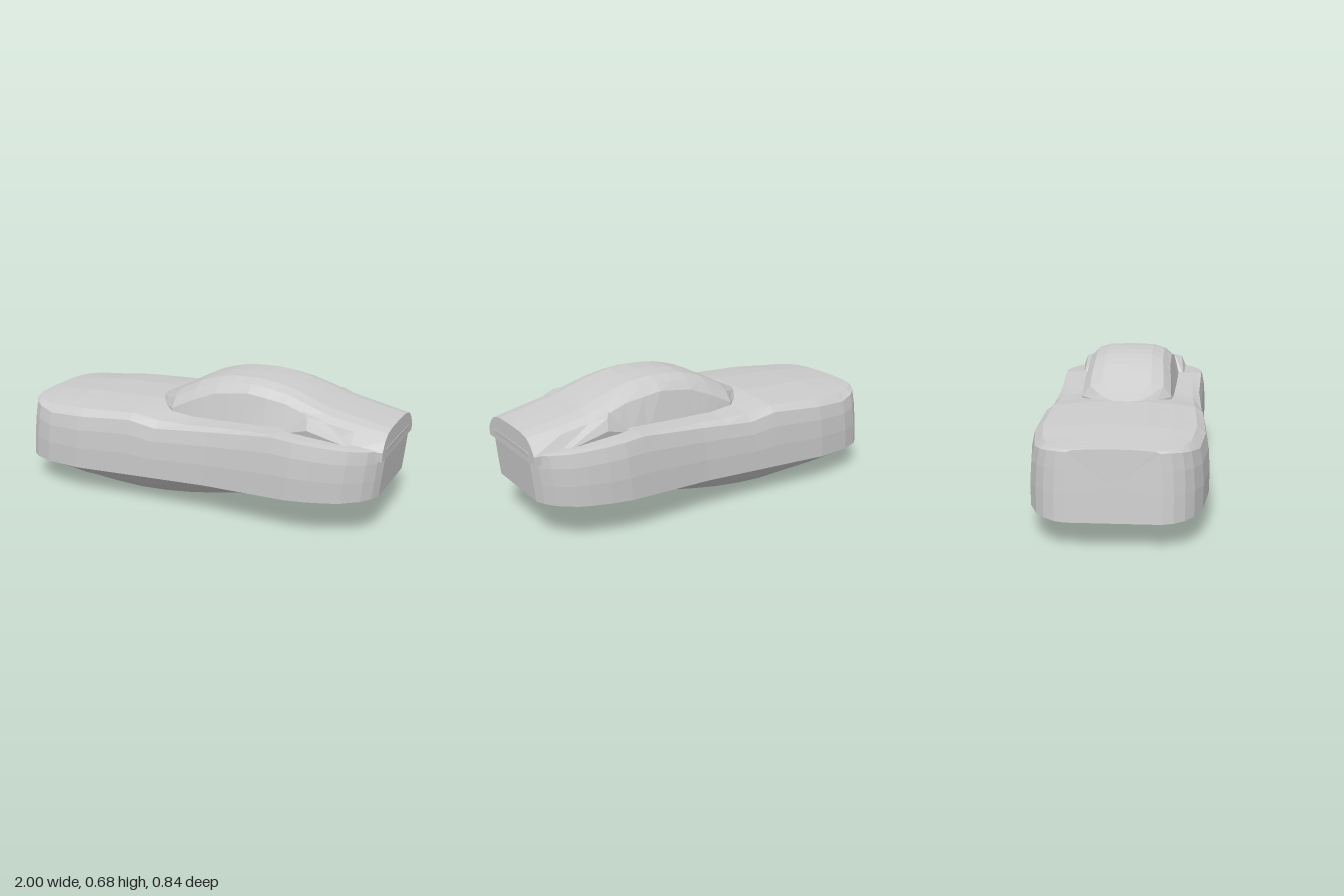
import * as THREE from 'three';
import { ConvexGeometry } from 'three/addons/geometries/ConvexGeometry.js';

const material = new THREE.MeshStandardMaterial({ color: 0xcccccc, flatShading: true });

// Straight-line reading of a profile given as [x, value] pairs.
function at(profile, x) {
  if (x <= profile[0][0]) return profile[0][1];
  for (let i = 1; i < profile.length; i++) {
    const [x0, v0] = profile[i - 1];
    const [x1, v1] = profile[i];
    if (x <= x1) return v0 + ((v1 - v0) * (x - x0)) / (x1 - x0);
  }
  return profile[profile.length - 1][1];
}

// Skins mirrored sections along x. half(x) lists [z, y] from bottom centre to top centre.
function loft(stations, half, lean) {
  const pos = [];
  const index = [];
  let n = 0;
  const centres = [];
  for (const x of stations) {
    const h = half(x);
    const ring = [...h, ...h.slice(1, -1).reverse().map(([z, y]) => [-z, y])];
    n = ring.length;
    for (const [z, y] of ring) pos.push(lean(x, y), y, z);
    const midY = (h[0][1] + h[h.length - 1][1]) / 2;
    centres.push([lean(x, midY), midY, 0]);
  }
  const last = stations.length - 1;
  for (let i = 0; i < last; i++) {
    for (let j = 0; j < n; j++) {
      const k = (j + 1) % n;
      const a = i * n + j, b = a + n, c = i * n + k, d = c + n;
      index.push(a, b, d, a, d, c);
    }
  }
  const c0 = pos.length / 3;
  pos.push(...centres[0], ...centres[last]);
  for (let j = 0; j < n; j++) {
    const k = (j + 1) % n;
    index.push(c0, j, k, c0 + 1, last * n + k, last * n + j);
  }
  const g = new THREE.BufferGeometry();
  g.setAttribute('position', new THREE.Float32BufferAttribute(pos, 3));
  g.setIndex(index);
  const flat = g.toNonIndexed();
  flat.computeVertexNormals();
  return flat;
}

// Body profiles along the length, nose at -x
const width = [[-1, 0.21], [-0.985, 0.26], [-0.95, 0.31], [-0.9, 0.35], [-0.8, 0.39], [-0.6, 0.42],
  [-0.3, 0.41], [0.15, 0.395], [0.6, 0.415], [0.75, 0.395], [0.86, 0.355], [0.94, 0.3], [0.98, 0.25], [1, 0.2]];
const rim = [[-1, 0.13], [1, 0.205]];
const belly = [[-1, 0.13], [-0.8, 0.06], [-0.6, 0.025], [-0.35, 0], [-0.1, 0.01], [0.1, 0.04],
  [0.35, 0.1], [0.6, 0.17], [0.7, 0.162], [0.8, 0.17], [1, 0.205]];
const groove = [[-1, 0.13], [-0.85, 0.09], [-0.7, 0.1], [-0.4, 0.13], [0.3, 0.15], [0.6, 0.18], [0.7, 0.167], [1, 0.205]];
const shoulder = [[-1, 0.44], [-0.8, 0.41], [-0.55, 0.43], [-0.3, 0.45], [-0.15, 0.425], [0.2, 0.455], [0.5, 0.485], [1, 0.445]];
const deck = [[-1, 0.455], [-0.7, 0.485], [-0.27, 0.5], [0, 0.475], [0.5, 0.49], [0.8, 0.47], [1, 0.448]];

function bodySection(x) {
  const w = at(width, x), r = at(rim, x), b = at(belly, x);
  const g = at(groove, x), s = at(shoulder, x), d = at(deck, x);
  return [
    [0, g], [0.06 * w, g + (b - g) * 0.2], [0.12 * w, g + (b - g) * 0.55], [0.28 * w, b + (r - b) * 0.1],
    [0.44 * w, b], [0.58 * w, b + (r - b) * 0.14], [0.78 * w, b + (r - b) * 0.5], [w, r],
    [w * 1.005, r + (s - r) * 0.4], [w * 0.99, r + (s - r) * 0.75], [w * 0.955, s],
    [w * 0.86, s + (d - s) * 0.55], [w * 0.6, s + (d - s) * 0.8], [w * 0.3, d], [0, d],
  ];
}

// Cabin and rear deck profiles
const roof = [[-0.27, 0.498], [-0.2, 0.53], [-0.1, 0.585], [0, 0.635], [0.1, 0.668], [0.25, 0.688], [0.4, 0.677],
  [0.5, 0.655], [0.6, 0.622], [0.7, 0.585], [0.85, 0.555], [1, 0.528]];
const cabinWidth = [[-0.27, 0.06], [-0.2, 0.16], [-0.12, 0.235], [0, 0.245], [0.6, 0.28], [0.8, 0.275], [1, 0.255]];
const windowTop = [[-0.27, 0.485], [-0.12, 0.49], [0, 0.55], [0.12, 0.6], [0.3, 0.625], [0.5, 0.6], [0.65, 0.555], [1, 0.49]];
const windowInset = [[-0.27, 1], [-0.12, 0.98], [0.12, 0.87], [0.5, 0.82], [0.7, 0.87], [1, 0.86]];

function cabinSection(x) {
  const w = at(cabinWidth, x), h = at(roof, x), u = at(windowTop, x), wu = w * at(windowInset, x);
  return [
    [0, 0.4], [w, 0.4], [w, 0.445], [wu, u],
    [wu * 0.82, u + (h - u) * 0.62], [wu * 0.55, u + (h - u) * 0.93], [0, h],
  ];
}

export function createModel() {
  const group = new THREE.Group();
  const add = (name, geometry) => {
    const mesh = new THREE.Mesh(geometry, material);
    mesh.name = name;
    group.add(mesh);
  };

  // Lower body with twin belly lobes; the ends lean toward +x as they rise
  const bodyStations = [-1, -0.985, -0.95, -0.9, -0.85, -0.8, -0.7, -0.6, -0.45, -0.3, -0.15, 0, 0.15,
    0.3, 0.4, 0.5, 0.6, 0.7, 0.8, 0.86, 0.9, 0.94, 0.98, 1];
  const lean = (x, y) => x * 0.985 + 0.015 * (THREE.MathUtils.clamp((y - 0.14) / 0.3, 0, 1) * 2 - 1);
  add('body', loft(bodyStations, bodySection, lean));

  // Cabin flowing into the rear deck
  const cabinStations = [-0.27, -0.2, -0.12, -0.06, 0, 0.06, 0.12, 0.2, 0.3, 0.4, 0.5, 0.6, 0.7, 0.85, 0.998];
  add('cabin', loft(cabinStations, cabinSection, (x) => x));

  // Raised quarter fins beside the rear window
  for (const side of [1, -1]) {
    const points = [[0.5, 0.47, 0.24], [0.5, 0.47, 0.29], [0.6, 0.58, 0.235], [0.63, 0.565, 0.278],
      [0.64, 0.51, 0.3], [0.88, 0.45, 0.25], [0.85, 0.455, 0.29], [0.7, 0.55, 0.24]];
    const fin = new ConvexGeometry(points.map(([x, y, z]) => new THREE.Vector3(x, y, side * z)));
    add(side > 0 ? 'frontSideFin' : 'backSideFin', fin);
  }
  return group;
}
